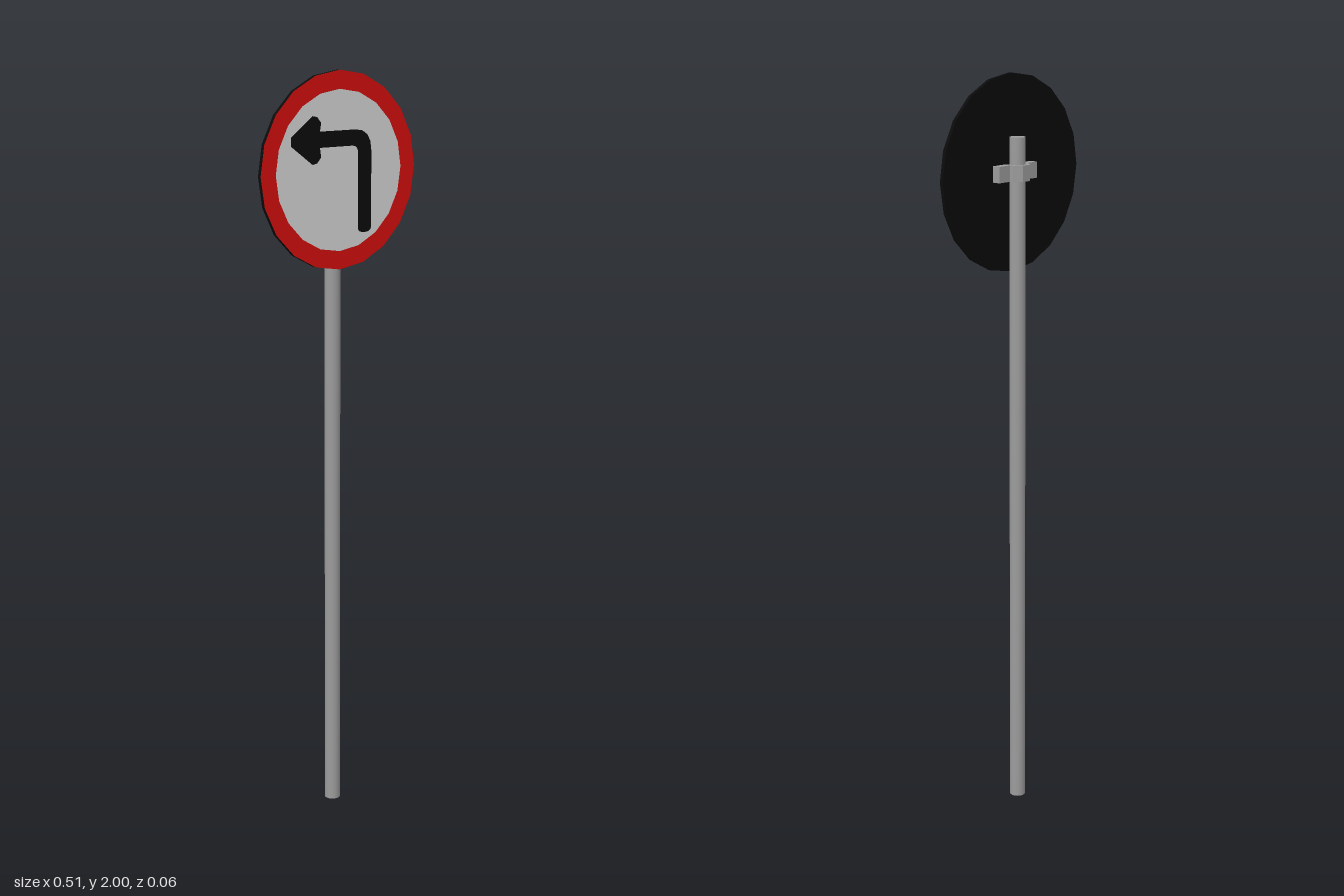
import * as THREE from 'three';

const SIGN_Y = 1.745, SIGN_R = 0.256, FACE_Z = 0.029;

export function createModel() {
  const group = new THREE.Group();
  const material = (name, color) => {
    const m = new THREE.MeshStandardMaterial({ color });
    m.name = name;
    return m;
  };
  const steel = material('steel grey', 0x9c9c9c);
  const black = material('black', 0x0b0b0b);
  const red = material('red', 0xd40e0e);
  const white = material('white', 0xd6d6d6);

  const add = (name, geometry, mat, x = 0, y = 0, z = 0) => {
    const mesh = new THREE.Mesh(geometry, mat);
    mesh.name = name;
    mesh.position.set(x, y, z);
    group.add(mesh);
    return mesh;
  };

  // Pole
  add('pole', new THREE.CylinderGeometry(0.021, 0.021, 1.84, 16), steel, 0, 0.92, 0);

  // Clamp: half of the outline, mirrored, wrapping behind the pole
  const half = [[0.014, 0.031], [0.031, 0.013], [0.031, 0.003], [0.072, 0.003],
    [0.072, -0.02], [0.021, -0.02], [0.021, 0.008], [0.009, 0.021]];
  const outline = [...half, ...half.map(([x, y]) => [-x, y]).reverse()];
  const clampShape = new THREE.Shape(outline.map(([x, y]) => new THREE.Vector2(x, y)));
  const clamp = new THREE.ExtrudeGeometry(clampShape, { depth: 0.042, bevelEnabled: false });
  clamp.rotateX(-Math.PI / 2);
  add('clamp', clamp, steel, 0, 1.728, 0);

  // Round sign plate with black back and rim
  const plate = new THREE.CylinderGeometry(SIGN_R, SIGN_R, 0.01, 20);
  plate.rotateX(Math.PI / 2);
  add('signPlate', plate, black, 0, SIGN_Y, FACE_Z - 0.005);

  // Painted face
  add('signBorder', new THREE.RingGeometry(0.208, SIGN_R, 20), red, 0, SIGN_Y, FACE_Z + 0.0008);
  add('signFace', new THREE.CircleGeometry(0.208, 20), white, 0, SIGN_Y, FACE_Z + 0.0008);

  // Bent arrow shaft with rounded foot and corner
  const shaft = new THREE.Shape();
  shaft.moveTo(-0.07, 1.848);
  shaft.lineTo(0.052, 1.848);
  shaft.quadraticCurveTo(0.106, 1.848, 0.106, 1.79);
  shaft.lineTo(0.106, 1.592);
  shaft.quadraticCurveTo(0.104, 1.58, 0.083, 1.58);
  shaft.quadraticCurveTo(0.063, 1.58, 0.061, 1.592);
  shaft.lineTo(0.061, 1.785);
  shaft.quadraticCurveTo(0.061, 1.807, 0.042, 1.807);
  shaft.lineTo(-0.07, 1.807);
  add('arrowShaft', new THREE.ShapeGeometry(shaft, 4), black, 0, 0, FACE_Z + 0.0016);

  // Arrow head with blunt barbs
  const head = [[-0.16, 1.837], [-0.16, 1.815], [-0.09, 1.765], [-0.075, 1.768], [-0.062, 1.783],
    [-0.066, 1.807], [-0.066, 1.848], [-0.062, 1.87], [-0.075, 1.885], [-0.09, 1.888]];
  const headShape = new THREE.Shape(head.map(([x, y]) => new THREE.Vector2(x, y)));
  add('arrowHead', new THREE.ShapeGeometry(headShape), black, 0, 0, FACE_Z + 0.0016);

  return group;
}
